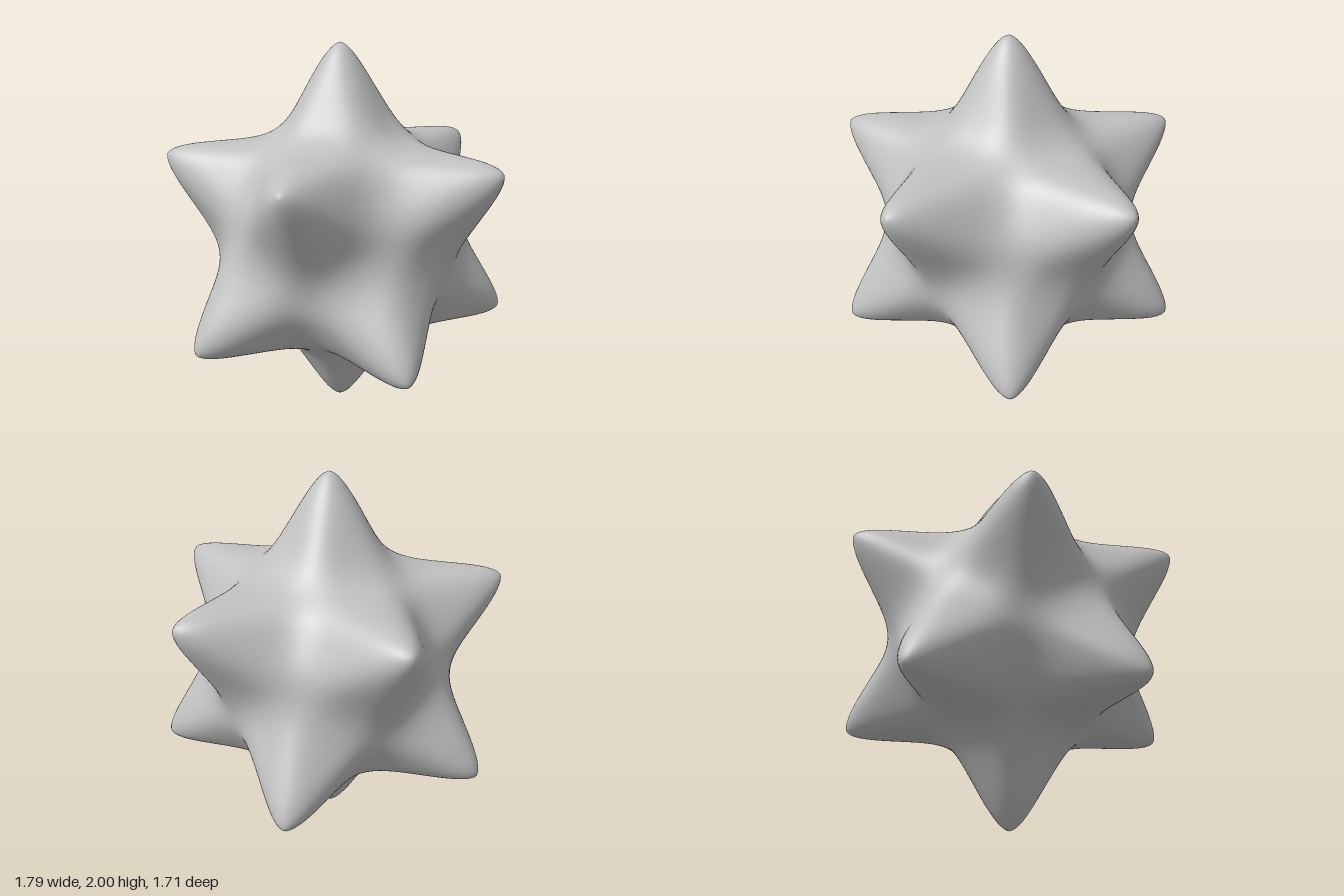
import * as THREE from 'three';
import { mergeVertices } from 'three/addons/utils/BufferGeometryUtils.js';

const FACE = 0.508; // distance of the star's flat planes from its centre
const N = 18;       // subdivisions along each triangle edge

// The twelve spike directions: two poles and two staggered rings of five
function spikeDirections() {
  const dirs = [new THREE.Vector3(0, 1, 0), new THREE.Vector3(0, -1, 0)];
  for (let i = 0; i < 5; i++) {
    const a = (i * Math.PI * 2) / 5;
    const d = new THREE.Vector3(2 * Math.cos(a), 1, 2 * Math.sin(a)).normalize();
    dirs.push(d, d.clone().negate());
  }
  return dirs;
}

// Add one flat side of a spike as a fine triangular grid
function addSide(out, a, b, c) {
  const normal = b.clone().sub(a).cross(c.clone().sub(a));
  if (normal.dot(a) < 0) [b, c] = [c, b];
  const put = (i, j) => {
    const u = i / N, v = j / N, w = 1 - u - v;
    out.push(a.x * w + b.x * u + c.x * v, a.y * w + b.y * u + c.y * v, a.z * w + b.z * u + c.z * v);
  };
  for (let i = 0; i < N; i++) {
    for (let j = 0; j < N - i; j++) {
      put(i, j); put(i + 1, j); put(i, j + 1);
      if (i + j < N - 1) { put(i + 1, j); put(i + 1, j + 1); put(i, j + 1); }
    }
  }
}

// Sharp stellated dodecahedron: twelve five-sided spikes
function sharpStar() {
  const dirs = spikeDirections();
  const near = (p, q) => Math.abs(p.dot(q) - 1 / Math.sqrt(5)) < 0.01;
  const out = [];
  for (const p of dirs) {
    const tip = p.clone().multiplyScalar(FACE * Math.sqrt(5));
    for (const q of dirs.filter((d) => near(p, d))) {
      const [b, c] = dirs.filter((d) => near(p, d) && near(q, d))
        .map((d) => p.clone().add(q).add(d).multiplyScalar(FACE / (1 + 2 / Math.sqrt(5))));
      addSide(out, tip, b, c);
    }
  }
  const geo = new THREE.BufferGeometry();
  geo.setAttribute('position', new THREE.Float32BufferAttribute(out, 3));
  return mergeVertices(geo, 1e-4);
}

// Relax every vertex toward its neighbours until the tips are one unit out
function soften(geo) {
  const pos = geo.attributes.position, index = geo.index.array;
  const links = Array.from({ length: pos.count }, () => new Set());
  for (let t = 0; t < index.length; t += 3) {
    for (let k = 0; k < 3; k++) {
      const a = index[t + k], b = index[t + ((k + 1) % 3)];
      links[a].add(b);
      links[b].add(a);
    }
  }
  const pts = links.map((_, i) => new THREE.Vector3().fromBufferAttribute(pos, i));
  const reach = () => Math.max(...pts.map((p) => p.length()));
  for (let step = 0; step < 200 && reach() > 1; step++) {
    const moved = pts.map((p, i) => {
      const mean = new THREE.Vector3();
      links[i].forEach((k) => mean.add(pts[k]));
      return mean.divideScalar(links[i].size).lerp(p, 0.6);
    });
    moved.forEach((p, i) => pts[i].copy(p));
  }
  const scale = 1 / reach();
  pts.forEach((p, i) => pos.setXYZ(i, p.x * scale, p.y * scale, p.z * scale));
  geo.computeVertexNormals();
  return geo;
}

export function createModel() {
  const group = new THREE.Group();
  group.name = 'spikedStar';
  const grey = new THREE.MeshStandardMaterial({ color: 0xc0c0c0 });
  grey.name = 'light grey';
  const star = new THREE.Mesh(soften(sharpStar()), grey);
  star.name = 'star';
  star.position.y = 1;
  group.add(star);
  return group;
}
